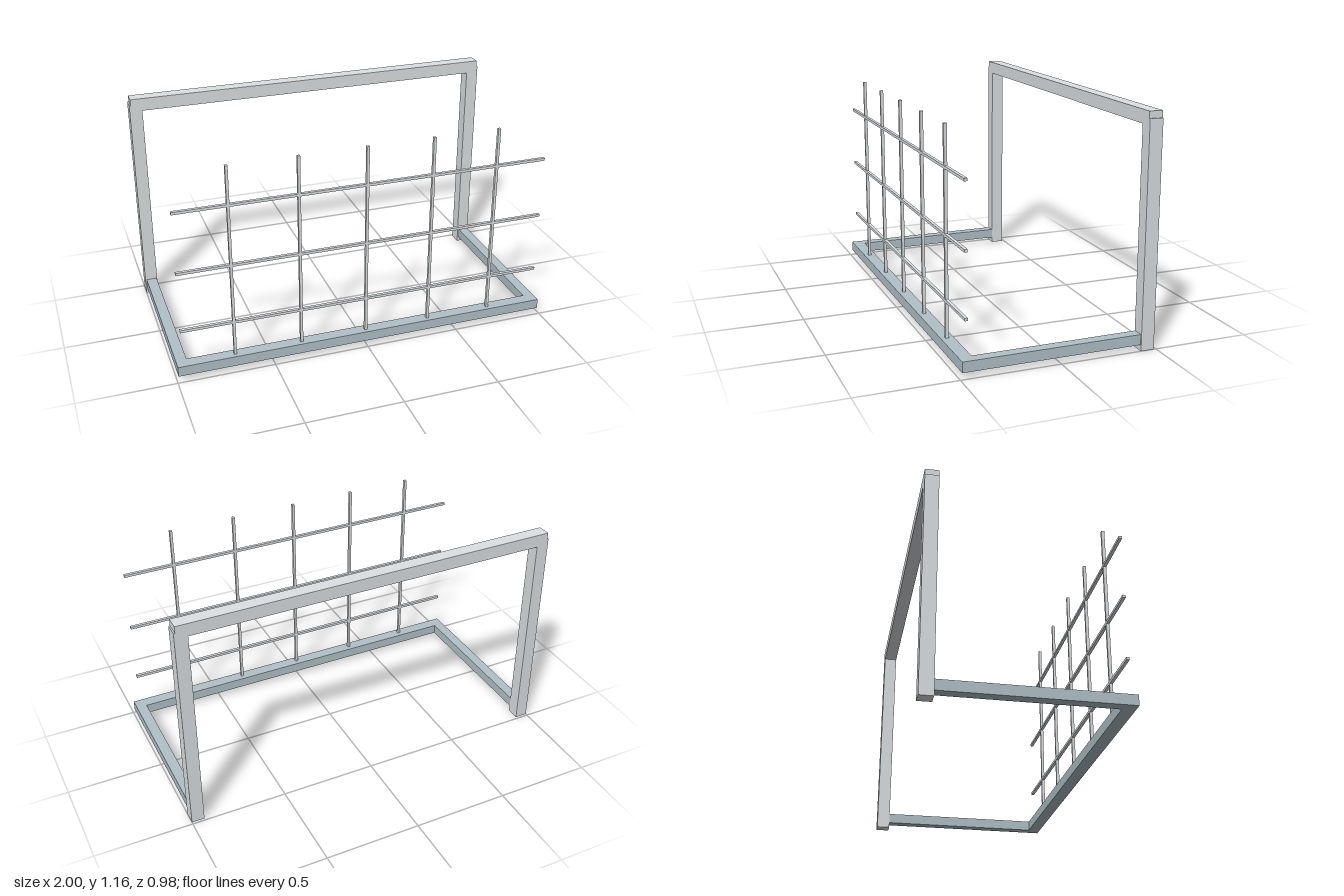
import * as THREE from 'three';

export function createModel() {
  const model = new THREE.Group();
  model.name = 'barredFrame';

  const steel = new THREE.MeshStandardMaterial({ color: 0xdde1e3 });
  steel.name = 'light grey steel';
  const baseSteel = new THREE.MeshStandardMaterial({ color: 0xb1c2c8 });
  baseSteel.name = 'blue grey steel';

  // Box given by its extents along each axis
  function bar(name, material, [x0, x1], [y0, y1], [z0, z1]) {
    const mesh = new THREE.Mesh(new THREE.BoxGeometry(x1 - x0, y1 - y0, z1 - z0), material);
    mesh.position.set((x0 + x1) / 2, (y0 + y1) / 2, (z0 + z1) / 2);
    mesh.name = name;
    model.add(mesh);
  }

  // Rear upright frame
  const rearZ = [-0.488, -0.419];
  bar('leftPost', steel, [0.934, 1], [0, 1.127], rearZ);
  bar('rightPost', steel, [-1, -0.934], [0, 1.127], rearZ);
  bar('topBeam', steel, [-0.993, 0.993], [1.094, 1.161], rearZ);

  // U-shaped base
  const baseY = [0.03, 0.083];
  bar('frontRail', baseSteel, [-0.993, 0.993], baseY, [0.424, 0.488]);
  bar('leftRail', baseSteel, [0.938, 0.993], baseY, [-0.419, 0.424]);
  bar('rightRail', baseSteel, [-0.993, -0.938], baseY, [-0.419, 0.424]);

  // Front grid of thin bars
  const gridZ = [0.45, 0.466];
  const h = 0.007;
  for (let i = -2; i <= 2; i++) {
    const x = i * 0.348;
    bar('verticalBar', steel, [x - h, x + h], [0.083, 1.115], gridZ);
  }
  for (const y of [0.271, 0.591, 0.912]) {
    bar('horizontalBar', steel, [-0.966, 0.966], [y - h, y + h], gridZ);
  }

  return model;
}
